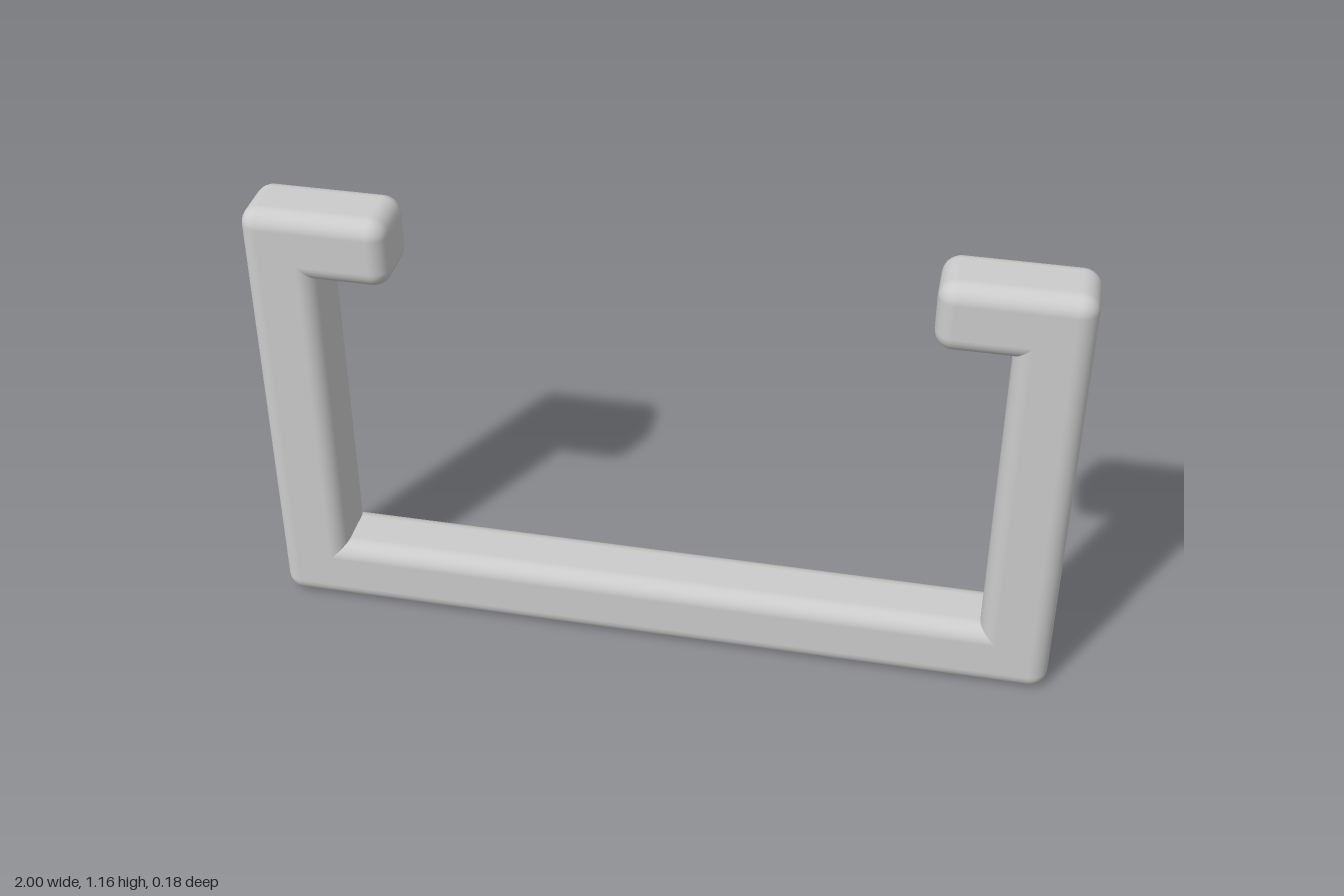
import * as THREE from 'three';
import { RoundedBoxGeometry } from 'three/addons/geometries/RoundedBoxGeometry.js';

const T = 0.18;      // bar thickness
const R = 0.045;     // edge rounding
const H = 1.165;     // overall height

export function createModel() {
  const group = new THREE.Group();
  group.name = 'bracketFrame';
  const material = new THREE.MeshStandardMaterial({ color: 0xcccccc });

  // Rounded bar spanning x0..x1 and y0..y1
  function bar(name, x0, x1, y0, y1) {
    const mesh = new THREE.Mesh(new RoundedBoxGeometry(x1 - x0, y1 - y0, T, 4, R), material);
    mesh.position.set((x0 + x1) / 2, (y0 + y1) / 2, 0);
    mesh.name = name;
    group.add(mesh);
  }

  // Bottom rail
  bar('bottomRail', -1, 1, 0, T);

  // Uprights and the short inward lips on top of them
  for (const [side, s] of [['left', 1], ['right', -1]]) {
    const span = (a, b) => (s > 0 ? [a, b] : [-b, -a]);
    bar(side + 'Upright', ...span(1 - T, 1), 0.055, 1.08);
    bar(side + 'Lip', ...span(0.64, 1), H - T, H);
  }
  return group;
}
